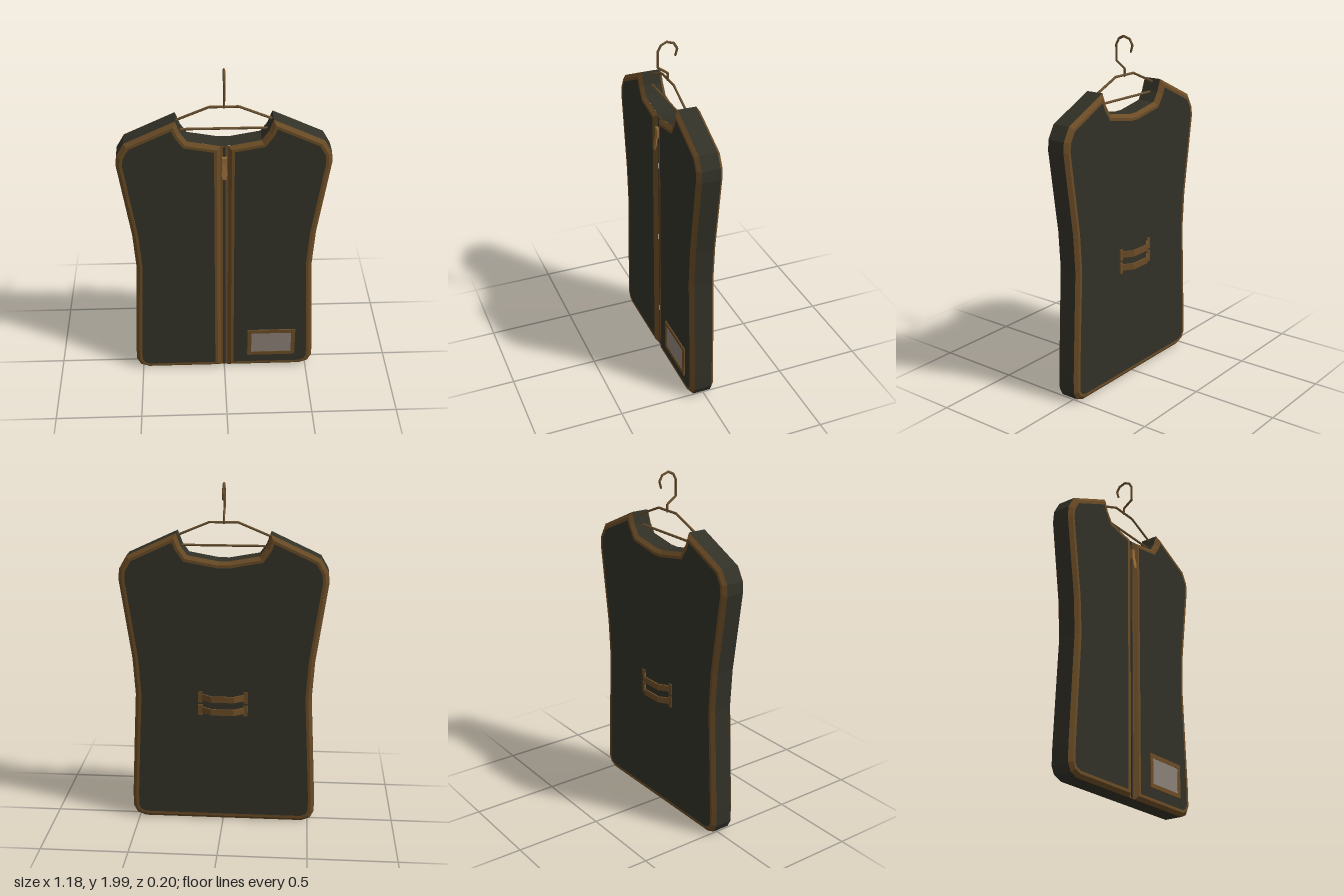
import * as THREE from 'three';

const mat = (name, color, extra = {}) => {
  const m = new THREE.MeshStandardMaterial({ color, flatShading: true, ...extra });
  m.name = name;
  return m;
};

// Inset a counter-clockwise outline by d with mitred corners
function inset(pts, d) {
  return pts.map((p, i) => {
    const a = pts[(i + pts.length - 1) % pts.length], b = pts[(i + 1) % pts.length];
    const u = p.clone().sub(a).normalize(), v = b.clone().sub(p).normalize();
    const n = new THREE.Vector2(-u.y - v.y, u.x + v.x).normalize();
    return p.clone().addScaledVector(n, d / (n.x * -u.y + n.y * u.x));
  });
}

// Faceted band joining two matching outlines at two depths
function band(lower, z0, upper, z1) {
  const pos = [];
  lower.forEach((a, i) => {
    const j = (i + 1) % lower.length, b = lower[j], c = upper[j], d = upper[i];
    pos.push(a.x, a.y, z0, b.x, b.y, z0, c.x, c.y, z1, a.x, a.y, z0, c.x, c.y, z1, d.x, d.y, z1);
  });
  const g = new THREE.BufferGeometry();
  g.setAttribute('position', new THREE.Float32BufferAttribute(pos, 3));
  g.computeVertexNormals();
  return g;
}

export function createModel() {
  const model = new THREE.Group();
  model.name = 'garmentBag';
  const fabric = mat('dark fabric', 0x323127);
  const trim = mat('brown trim', 0x6b4c26);
  const metal = mat('hanger bronze', 0x69502f);
  const brass = mat('zip brass', 0x946a38);
  const clear = mat('label window', 0x8c8078);
  const teethMat = mat('zip teeth', 0x35332c);

  const add = (name, geo, material, parent = model) => {
    const m = new THREE.Mesh(geo, material);
    m.name = name;
    parent.add(m);
    return m;
  };
  const box = (name, w, h, d, x, y, z, material, parent) => {
    const m = add(name, new THREE.BoxGeometry(w, h, d), material, parent);
    m.position.set(x, y, z);
    return m;
  };

  // Bag outline: the +x side from hem to neck
  const side = [
    [0.465, 0.005], [0.515, 0.025], [0.538, 0.07], [0.538, 0.16], [0.522, 0.5], [0.508, 0.78],
    [0.522, 1.0], [0.555, 1.23], [0.588, 1.46], [0.583, 1.52], [0.54, 1.595], [0.262, 1.725],
    [0.236, 1.655], [0.2, 1.603],
  ].map(([x, y]) => new THREE.Vector2(x, y));
  const V = (x, y) => new THREE.Vector2(x, y);
  const mirror = (pts) => pts.map((p) => V(-p.x, p.y)).reverse();
  const outline = [...side, V(0.03, 1.572), ...mirror([...side, V(0.03, 1.572)])];
  const half = [V(0.02, 0.005), ...side, V(0.02, 1.57)];

  const front = 0.085, back = -0.055, wallFront = 0.067, wallBack = -0.037;
  const cut = 0.02, rim = 0.036;

  // Side wall
  add('sideWall', band(outline, wallBack, outline, wallFront), fabric);

  // Back panel with its piping
  const backCut = inset(outline, cut), backRim = inset(outline, rim);
  add('backPipingEdge', band(backCut, back, outline, wallBack), trim);
  add('backPiping', band(backRim, back, backCut, back), trim);
  const backPanel = add('backPanel', new THREE.ShapeGeometry(new THREE.Shape(backRim)), fabric);
  backPanel.rotation.y = Math.PI;
  backPanel.position.z = back;

  // Two front panels either side of the zip
  [['left', half], ['right', mirror(half)]].forEach(([label, pts]) => {
    const g = new THREE.Group();
    g.name = label + 'Front';
    model.add(g);
    const a = inset(pts, cut), b = inset(pts, rim);
    add('pipingEdge', band(pts, wallFront, a, front), trim, g);
    add('piping', band(a, front, b, front), trim, g);
    add('frontPanel', new THREE.ShapeGeometry(new THREE.Shape(b)), fabric, g).position.z = front;
  });

  // Zip tape, teeth, slider and pull
  box('zipTape', 0.044, 1.562, 0.008, 0, 0.788, 0.062, trim);
  box('zipTeeth', 0.014, 1.555, 0.006, 0, 0.788, 0.068, teethMat);
  box('zipSlider', 0.026, 0.06, 0.02, 0, 1.475, 0.077, brass);
  const pullShape = new THREE.Shape([
    V(-0.007, 0.055), V(-0.016, -0.03), V(-0.009, -0.06), V(0.009, -0.06), V(0.016, -0.03), V(0.007, 0.055),
  ]);
  const pull = add('zipPull', new THREE.ExtrudeGeometry(pullShape, { depth: 0.007, bevelEnabled: false }), brass);
  pull.position.set(0, 1.435, 0.084);
  pull.rotation.x = -0.14;

  // Label pocket
  const label = new THREE.Group();
  label.name = 'labelPocket';
  label.position.set(0.285, 0.195, front);
  model.add(label);
  for (const s of [-1, 1]) {
    box('labelFrameBar', 0.29, 0.024, 0.014, 0, s * 0.085, 0, trim, label);
    box('labelFrameSide', 0.024, 0.146, 0.014, s * 0.133, 0, 0, trim, label);
  }
  box('labelWindow', 0.242, 0.146, 0.006, 0, 0, 0.001, clear, label);

  // Pair of bent carry straps on the back with stitched end tabs
  const path = [[-0.135, 0.05], [-0.12, 0.062], [-0.065, 0.1], [0.065, 0.1], [0.12, 0.062], [0.135, 0.05]];
  const strap = new THREE.Shape([
    ...path.map(([x, z]) => V(x, z)),
    ...path.map(([x, z]) => V(x * 0.96, z - 0.009)).reverse(),
  ]);
  for (const y of [0.7, 0.778]) {
    const g = new THREE.Group();
    g.name = 'carryHandle';
    model.add(g);
    const s = add('strap', new THREE.ExtrudeGeometry(strap, { depth: 0.036, bevelEnabled: false }), trim, g);
    s.rotation.x = -Math.PI / 2;
    s.position.y = y - 0.018;
    for (const x of [-0.13, 0.13]) box('strapTab', 0.026, 0.066, 0.008, x, y, back - 0.002, trim, g);
  }

  // Wire hanger made of straight rods with ball joints
  const hanger = new THREE.Group();
  hanger.name = 'hanger';
  model.add(hanger);
  const wire = (name, pts, r) => {
    const v = pts.map((p) => new THREE.Vector3(...p));
    v.forEach((p, i) => {
      add(name + 'Joint', new THREE.IcosahedronGeometry(r, 0), metal, hanger).position.copy(p);
      if (i === 0) return;
      const dir = p.clone().sub(v[i - 1]);
      const rod = add(name, new THREE.CylinderGeometry(r, r, dir.length(), 6), metal, hanger);
      rod.position.copy(p).addScaledVector(dir, -0.5);
      rod.quaternion.setFromUnitVectors(new THREE.Vector3(0, 1, 0), dir.normalize());
    });
  };
  const z = 0.016;
  wire('hangerArm', [[-0.25, 1.65, z], [-0.26, 1.705, z], [-0.08, 1.78, z], [0.08, 1.78, z], [0.26, 1.705, z], [0.25, 1.65, z]], 0.007);
  wire('hangerBar', [[-0.25, 1.65, z], [0.25, 1.65, z]], 0.007);
  wire('hook', [
    [0, 1.775, z], [0, 1.815, z], [0, 1.855, 0.073], [0, 1.945, 0.073], [0, 1.978, 0.055],
    [0, 1.993, 0.022], [0, 1.98, -0.018], [0, 1.948, -0.037], [0, 1.912, -0.027],
  ], 0.007);
  return model;
}
